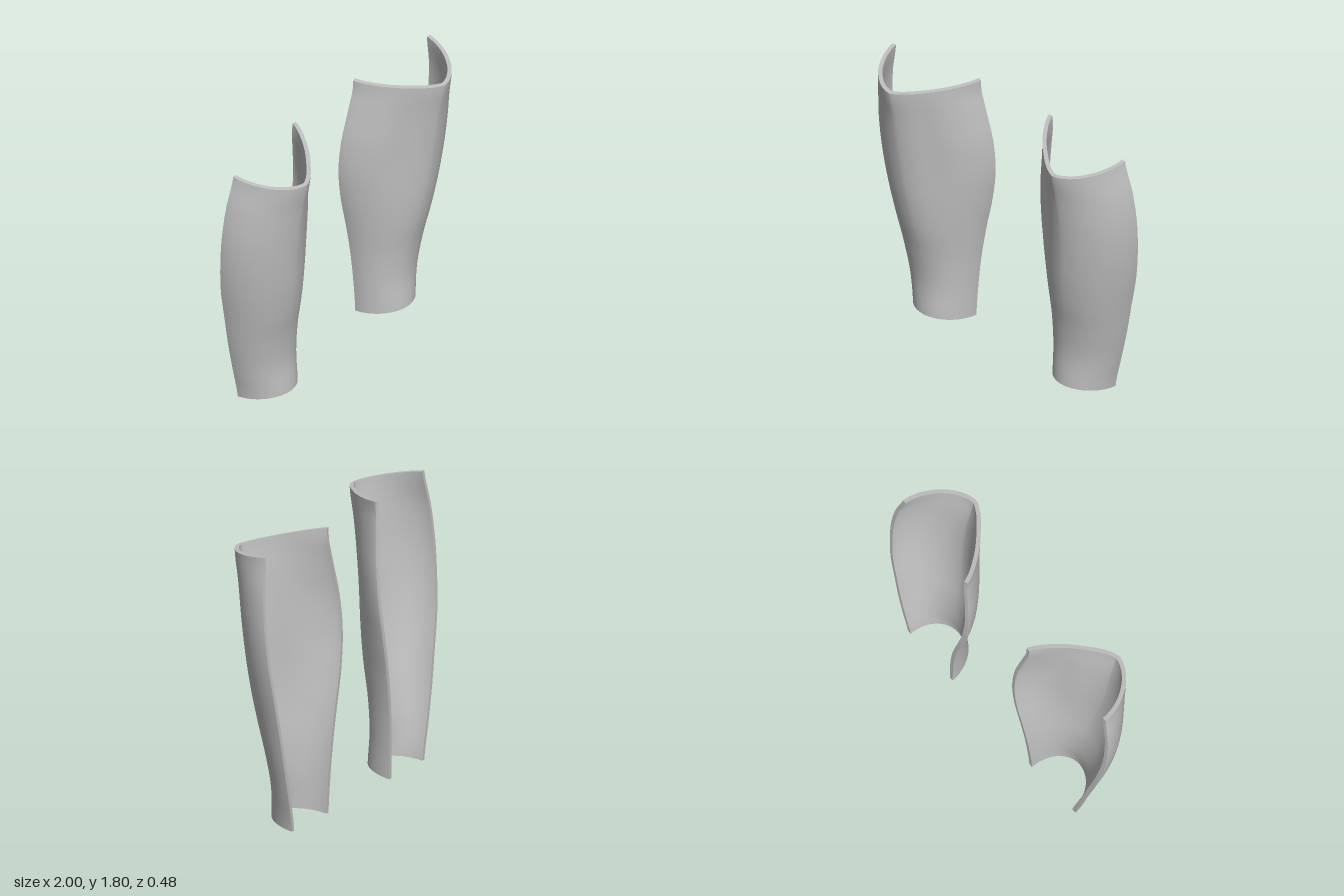
import * as THREE from 'three';

const ROWS = 48, HALF = 20, THICK = 0.026;

// Smooth value along the height (t = 0 bottom, 1 top) through evenly spaced stations
const along = (values) => {
  const c = new THREE.SplineCurve(values.map((v) => new THREE.Vector2(v, 0)));
  return (t) => c.getPoint(t).x;
};

// Section measures from ankle to knee
const innerX = along([0.355, 0.345, 0.325, 0.29, 0.245, 0.213, 0.215, 0.25, 0.286]);
const outerX = along([0.775, 0.82, 0.87, 0.915, 0.96, 0.99, 1.0, 0.983, 0.94]);
const shinX = along([0.56, 0.57, 0.59, 0.61, 0.63, 0.65, 0.66, 0.66, 0.66]);
const shinZ = along([0.032, 0.018, 0.04, 0.085, 0.12, 0.145, 0.17, 0.2, 0.24]);
const innerZ = along([-0.215, -0.222, -0.23, -0.237, -0.24, -0.23, -0.21, -0.185, -0.165]);
const outerZ = along([-0.21, -0.212, -0.208, -0.2, -0.19, -0.17, -0.15, -0.13, -0.11]);
const innerPower = along([2, 2, 1.9, 1.75, 1.6, 1.5, 1.45, 1.4, 1.35]);
const outerPower = along([2, 2, 2, 1.95, 1.9, 1.85, 1.8, 1.75, 1.75]);

// Open cross-section: inner edge, round the shin, outer edge
function section(t) {
  const pts = [];
  const flare = 0.012 * THREE.MathUtils.smoothstep(t, 0.95, 1);
  for (let j = -HALF; j <= HALF; j++) {
    const inner = j < 0;
    const a = (Math.abs(j) / HALF) * Math.PI / 2;
    const e = 2 / (inner ? innerPower(t) : outerPower(t));
    const f = Math.pow(Math.sin(a), e);
    const g = 1 - Math.pow(Math.max(0, Math.cos(a)), e);
    const xe = inner ? innerX(t) - flare * f ** 6 : outerX(t);
    const ze = inner ? innerZ(t) : outerZ(t);
    let z = shinZ(t) + (ze - shinZ(t)) * g;
    // shallow hollow beside the shin bone
    if (inner) z -= 0.013 * Math.exp(-(((f - 0.45) / 0.17) ** 2)) * Math.exp(-(((t - 0.75) / 0.25) ** 2));
    pts.push(new THREE.Vector2(shinX(t) + (xe - shinX(t)) * f, z));
  }
  return pts;
}

// Same section moved inwards by the wall thickness
function inset(pts) {
  return pts.map((p, j) => {
    const d = pts[Math.min(j + 1, pts.length - 1)].clone().sub(pts[Math.max(j - 1, 0)]).normalize();
    return new THREE.Vector2(p.x + d.y * THICK, p.y - d.x * THICK);
  });
}

// Tilted top and bottom rims
const place = (p, t) => new THREE.Vector3(
  p.x, THREE.MathUtils.lerp(0.036 + 0.14 * p.y, 1.778 - 0.16 * p.y, t), p.y);

// Surface through rows of points
function surface(rows, flip, mirror) {
  const w = rows[0].length, pos = [], index = [];
  rows.forEach((r) => r.forEach((p) => pos.push(mirror * p.x, p.y, p.z)));
  for (let i = 0; i < rows.length - 1; i++) {
    for (let j = 0; j < w - 1; j++) {
      const a = i * w + j, b = a + 1, c = a + w + 1, d = a + w;
      if (flip !== (mirror < 0)) index.push(a, c, b, a, d, c);
      else index.push(a, b, c, a, c, d);
    }
  }
  const geo = new THREE.BufferGeometry();
  geo.setAttribute('position', new THREE.Float32BufferAttribute(pos, 3));
  geo.setIndex(index);
  geo.computeVertexNormals();
  return geo;
}

function shinGuard(name, mirror, material) {
  const guard = new THREE.Group();
  guard.name = name;
  const out = [], inn = [];
  for (let i = 0; i <= ROWS; i++) {
    const t = i / ROWS, s = section(t);
    out.push(s.map((p) => place(p, t)));
    inn.push(inset(s).map((p) => place(p, t)));
  }
  const last = 2 * HALF;
  const add = (part, rows, flip) => {
    const mesh = new THREE.Mesh(surface(rows, flip, mirror), material);
    mesh.name = part;
    guard.add(mesh);
  };
  add('outerShell', out, false);
  add('innerShell', inn, true);
  add('topRim', [out[ROWS], inn[ROWS]], false);
  add('bottomRim', [out[0], inn[0]], true);
  add('innerSideEdge', out.map((r, i) => [inn[i][0], r[0]]), false);
  add('outerSideEdge', out.map((r, i) => [r[last], inn[i][last]]), false);
  return guard;
}

export function createModel() {
  const grey = new THREE.MeshStandardMaterial({ color: 0xbfbfbf });
  grey.name = 'plainGrey';
  const model = new THREE.Group();
  model.name = 'shinGuards';
  model.add(shinGuard('leftShinGuard', 1, grey), shinGuard('rightShinGuard', -1, grey));
  return model;
}
